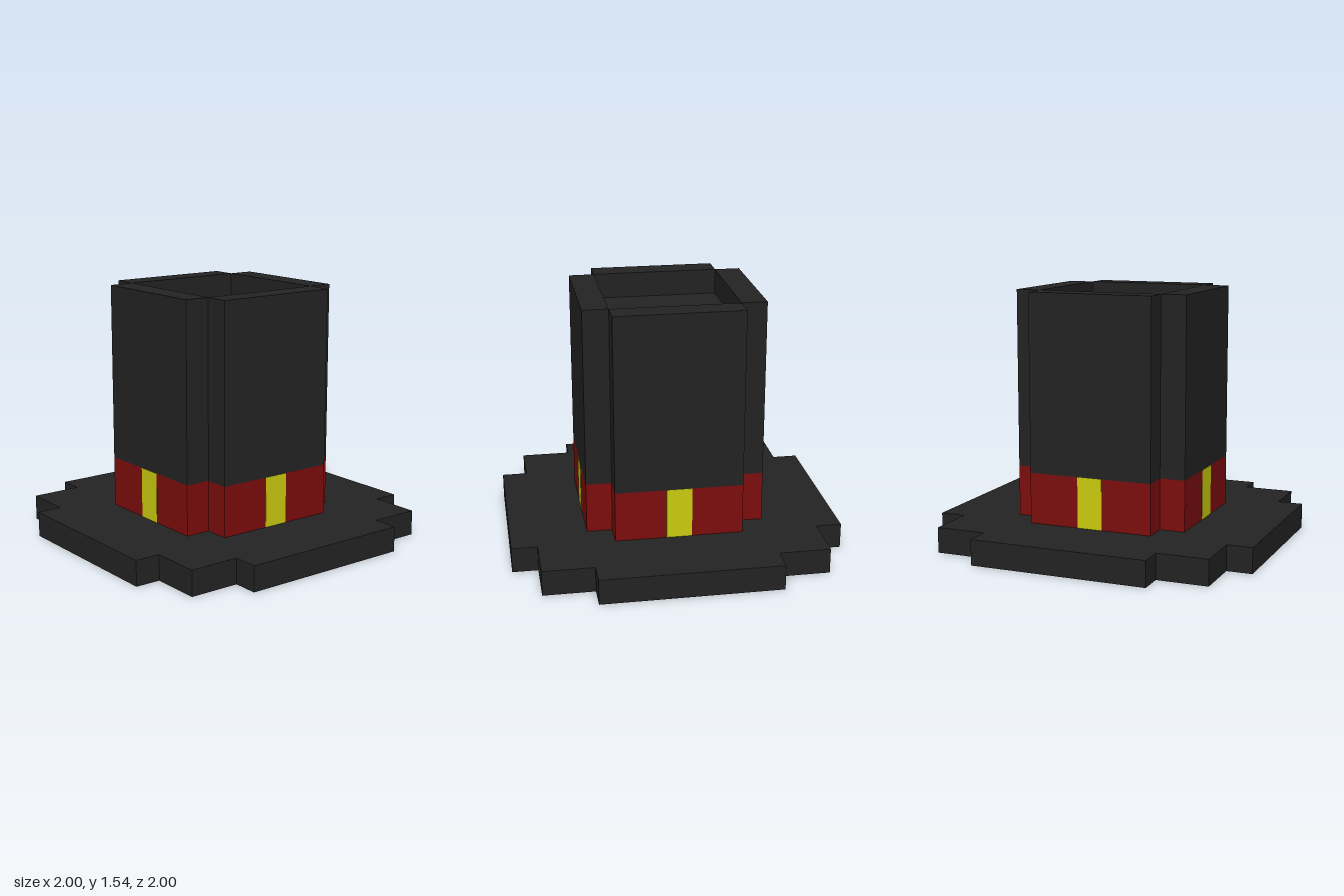
import * as THREE from 'three';

const U = 2 / 13; // one block unit: the brim is 13 units wide

export function createModel() {
  const felt = new THREE.MeshStandardMaterial({ color: 0x232323 });
  felt.name = 'black felt';
  const ribbon = new THREE.MeshStandardMaterial({ color: 0x7d0d0d });
  ribbon.name = 'red ribbon';
  const gold = new THREE.MeshStandardMaterial({ color: 0xcbcb10 });
  gold.name = 'yellow buckle';

  const hat = new THREE.Group();
  hat.name = 'topHat';

  // Box given by its size, base height and z centre, in block units
  const block = (name, material, w, h, d, base, z = 0) => {
    const mesh = new THREE.Mesh(new THREE.BoxGeometry(w * U, h * U, d * U), material);
    mesh.position.set(0, (base + h / 2) * U, z * U);
    mesh.name = name;
    return mesh;
  };

  // Brim: one quarter of the stepped outline, turned four times
  const quarter = [[6.5, 3.5], [5.5, 3.5], [5.5, 5.5], [3.5, 5.5], [3.5, 6.5]];
  const outline = [];
  for (let i = 0; i < 4; i++) {
    for (const [x, y] of quarter) {
      const p = new THREE.Vector2(x * U, y * U);
      outline.push(p.rotateAround(new THREE.Vector2(), i * Math.PI / 2));
    }
  }
  const brimGeometry = new THREE.ExtrudeGeometry(new THREE.Shape(outline), { depth: U, bevelEnabled: false });
  brimGeometry.rotateX(-Math.PI / 2);
  const brim = new THREE.Mesh(brimGeometry, felt);
  brim.name = 'brim';
  hat.add(brim);

  // Crown core, its top sunk one unit below the wall tops
  hat.add(block('crownCore', felt, 5, 8, 5, 1));

  // Four sides: upper wall, ribbon and buckle
  ['front', 'left', 'back', 'right'].forEach((side, i) => {
    const group = new THREE.Group();
    group.name = side + 'Side';
    group.add(
      block('crownWall', felt, 5, 7, 1, 3, 3),
      block('ribbon', ribbon, 5, 2, 1, 1, 3),
      block('buckle', gold, 1, 2, 0.03, 1, 3.5)
    );
    group.rotation.y = i * Math.PI / 2;
    hat.add(group);
  });

  return hat;
}
